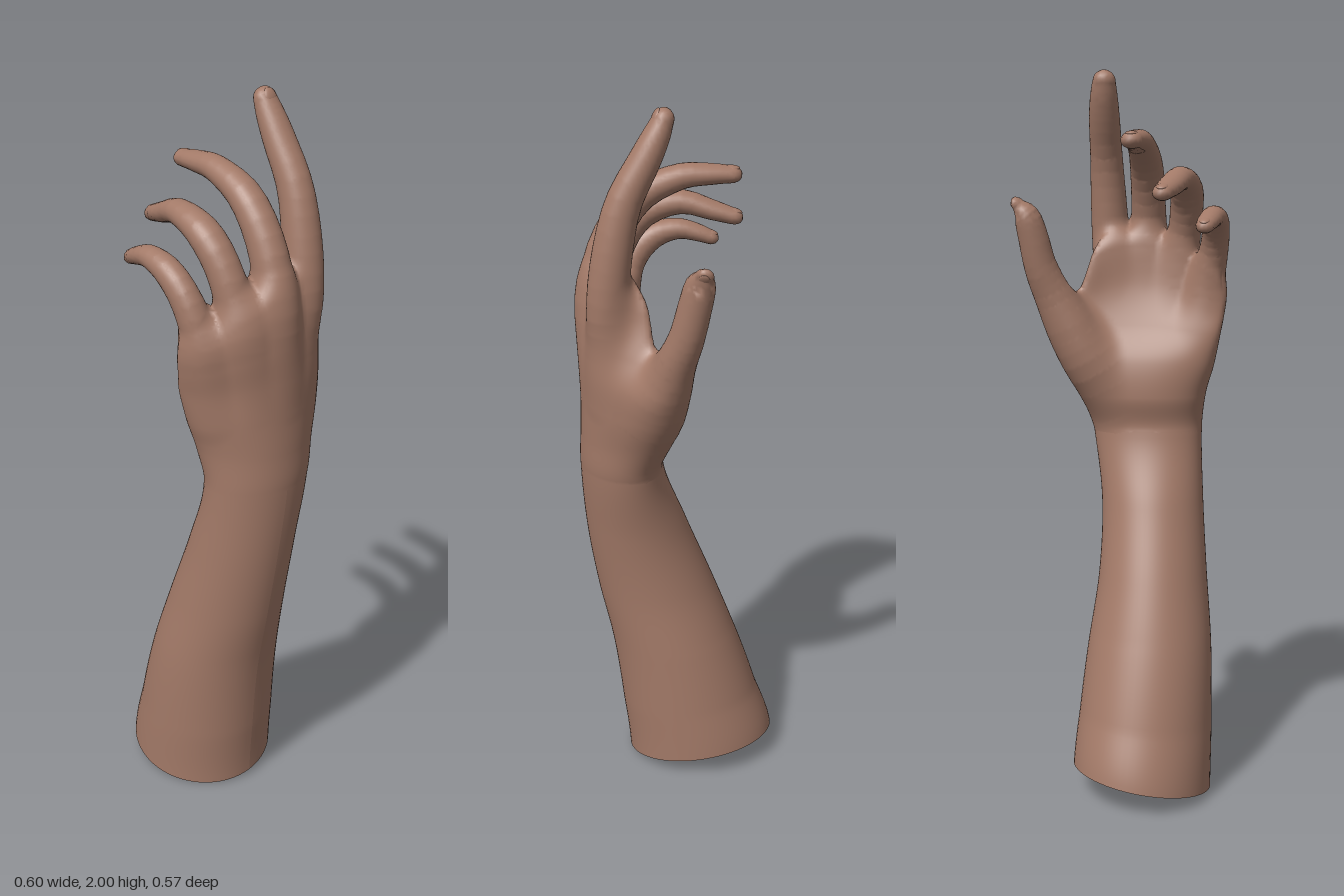
import * as THREE from 'three';

const skin = new THREE.MeshStandardMaterial({ color: 0xa37a68, side: THREE.DoubleSide });
skin.name = 'skin';

// Forearm and palm cross-sections: y, centre x, centre z, half width, half depth, arch
const ARM = [
  [0.043, -0.078, -0.067, 0.193, 0.218, 0],
  [0.200, -0.084, -0.034, 0.187, 0.203, 0],
  [0.400, -0.090, 0.010, 0.175, 0.185, 0],
  [0.600, -0.092, 0.068, 0.154, 0.168, 0],
  [0.800, -0.084, 0.123, 0.146, 0.143, 0],
  [1.000, -0.066, 0.165, 0.156, 0.115, 0.010],
  [1.100, -0.058, 0.157, 0.175, 0.121, 0.020],
  [1.200, -0.052, 0.161, 0.207, 0.114, 0.045],
  [1.300, -0.050, 0.182, 0.224, 0.093, 0.080],
  [1.400, -0.070, 0.198, 0.212, 0.075, 0.090],
  [1.500, -0.090, 0.202, 0.192, 0.062, 0.088],
  [1.600, -0.090, 0.198, 0.165, 0.040, 0.075]
];

// Digits, from the knuckle inside the hand to the tip: x, y, z, half width, half thickness
const DIGITS = {
  indexFinger: [
    [0.020, 1.22, 0.195, 0.035, 0.035], [0.035, 1.36, 0.200, 0.046, 0.046],
    [0.045, 1.48, 0.208, 0.054, 0.055], [0.052, 1.62, 0.196, 0.052, 0.053],
    [0.055, 1.76, 0.165, 0.046, 0.047], [0.053, 1.87, 0.108, 0.043, 0.041],
    [0.050, 1.93, 0.077, 0.038, 0.035], [0.047, 1.968, 0.060, 0.032, 0.028]],
  middleFinger: [
    [-0.050, 1.22, 0.205, 0.035, 0.035], [-0.058, 1.36, 0.214, 0.046, 0.046],
    [-0.060, 1.49, 0.219, 0.053, 0.055], [-0.062, 1.63, 0.190, 0.049, 0.050],
    [-0.064, 1.745, 0.115, 0.046, 0.043], [-0.062, 1.797, 0.005, 0.038, 0.034],
    [-0.058, 1.803, -0.075, 0.036, 0.028], [-0.054, 1.801, -0.135, 0.030, 0.023]],
  ringFinger: [
    [-0.115, 1.22, 0.185, 0.035, 0.035], [-0.138, 1.34, 0.186, 0.043, 0.043],
    [-0.153, 1.45, 0.186, 0.049, 0.050], [-0.170, 1.58, 0.155, 0.046, 0.046],
    [-0.180, 1.670, 0.090, 0.046, 0.042], [-0.172, 1.704, -0.015, 0.038, 0.033],
    [-0.152, 1.682, -0.105, 0.035, 0.027], [-0.138, 1.666, -0.160, 0.028, 0.022]],
  littleFinger: [
    [-0.190, 1.20, 0.140, 0.035, 0.035], [-0.218, 1.32, 0.138, 0.041, 0.041],
    [-0.236, 1.42, 0.135, 0.046, 0.046], [-0.256, 1.52, 0.105, 0.040, 0.042],
    [-0.264, 1.582, 0.048, 0.037, 0.037], [-0.262, 1.604, -0.025, 0.033, 0.029],
    [-0.253, 1.592, -0.085, 0.030, 0.024], [-0.246, 1.580, -0.118, 0.025, 0.020]],
  thumb: [
    [0.020, 1.06, 0.130, 0.050, 0.050], [0.086, 1.18, 0.090, 0.070, 0.070],
    [0.140, 1.28, 0.072, 0.067, 0.069], [0.188, 1.38, 0.052, 0.053, 0.055],
    [0.220, 1.46, 0.030, 0.046, 0.046], [0.239, 1.55, 0.012, 0.043, 0.041],
    [0.254, 1.605, 0.002, 0.039, 0.034], [0.277, 1.636, -0.004, 0.024, 0.016]]
};

// Smooth interpolation of every column of a table at row position u
function sample(rows, u) {
  const n = rows.length - 1;
  const i = Math.max(0, Math.min(Math.floor(u), n - 1));
  const t = Math.min(1, u - i);
  const a = rows[Math.max(0, i - 1)], b = rows[i], d = rows[i + 1], e = rows[Math.min(n, i + 2)];
  return b.map((v, c) => v + 0.5 * t * (d[c] - a[c]
    + t * (2 * a[c] - 5 * v + 4 * d[c] - e[c] + t * (3 * (v - d[c]) + e[c] - a[c]))));
}

function section(y) {
  let i = 0;
  while (i < ARM.length - 2 && ARM[i + 1][0] <= y) i++;
  return sample(ARM, i + (y - ARM[i][0]) / (ARM[i + 1][0] - ARM[i][0]));
}

// Open forearm sleeve with a tilted lower rim
function makeForearm() {
  const around = 64, up = 60, y0 = ARM[0][0];
  const g = new THREE.CylinderGeometry(1, 1, 1, around, up, true);
  const p = g.attributes.position;
  for (let i = 0; i < p.count; i++) {
    const y = y0 + (p.getY(i) + 0.5) * (1 - y0);
    const [, cx, cz, rx, rz, arch] = section(y);
    const dx = rx * p.getX(i), dz = rz * p.getZ(i) - arch * p.getX(i) ** 2;
    const tilt = Math.max(0, 1 - (y - y0) / 0.4);
    p.setXYZ(i, cx + dx, y + tilt * (0.17 * dx - 0.12 * dz), cz + dz);
  }
  g.computeVertexNormals();
  const mesh = new THREE.Mesh(g, skin);
  mesh.name = 'forearm';
  return mesh;
}

// Cross-section frames along a digit
function digitFrames(rows, across) {
  const n = rows.length - 1, steps = 22;
  const at = u => new THREE.Vector3(...sample(rows, u).slice(0, 3));
  return Array.from({ length: steps + 1 }, (_, i) => {
    const u = (i / steps) * n;
    const [w, h] = sample(rows, u).slice(3);
    const T = at(Math.min(n, u + 0.1)).sub(at(Math.max(0, u - 0.1))).normalize();
    const S = across.clone().addScaledVector(T, -across.dot(T)).normalize();
    return { c: at(u), T, S, N: S.clone().cross(T), w, h };
  });
}

const FRAMES = Object.entries(DIGITS).map(([name, rows]) => ({
  name,
  frames: digitFrames(rows, name === 'thumb' ? new THREE.Vector3(0.4, 0, -1) : new THREE.Vector3(1, 0, 0))
}));

// Smooth minimum, for soft webs between parts
const blend = (a, b, k) => {
  const h = Math.max(k - Math.abs(a - b), 0) / k;
  return Math.min(a, b) - h * h * k / 4;
};

// Distance to the palm, whose upper edge falls away to both sides
function palmDistance(P) {
  const y = P.y + 2.5 * (P.x + 0.03) ** 2 * THREE.MathUtils.smoothstep(P.y, 1.2, 1.5);
  const [, cx, cz, rx, rz, arch] = section(y);
  const u = (P.x - cx) / rx, v = (P.z - cz + arch * u * u) / rz;
  const q = Math.hypot(u, v) + 1e-4;
  const side = q * (q - 1) / (Math.hypot(u / rx + 2 * v * arch * u / rz / rx, v / rz) + 1e-6);
  return -blend(-side, 1.56 - y, 0.04);
}

// Distance to a digit of oval section with round ends
const o = new THREE.Vector3(), e = new THREE.Vector3();
function digitDistance(P, frames) {
  let best = Infinity, seg = 0, pos = 0;
  for (let i = 0; i < frames.length - 1; i++) {
    o.subVectors(P, frames[i].c);
    e.subVectors(frames[i + 1].c, frames[i].c);
    const t = Math.max(0, Math.min(1, o.dot(e) / e.dot(e)));
    const d = o.addScaledVector(e, -t).lengthSq();
    if (d < best) [best, seg, pos] = [d, i, t];
  }
  const A = frames[seg], B = frames[seg + 1];
  const mix = (a, b) => a + (b - a) * pos;
  o.subVectors(P, A.c).addScaledVector(e.subVectors(B.c, A.c), -pos);
  const w = mix(A.w, B.w), h = mix(A.h, B.h);
  const a = mix(o.dot(A.S), o.dot(B.S)) / w;
  const b = mix(o.dot(A.N), o.dot(B.N)) / h;
  const c = mix(o.dot(A.T), o.dot(B.T)) / w;
  const q = Math.hypot(a, b, c) + 1e-4;
  return q * (q - 1) / (Math.hypot(a / w, b / h, c / w) + 1e-6);
}

function handDistance(P) {
  const digits = FRAMES.reduce((d, f) => blend(d, digitDistance(P, f.frames), 0.012), 1);
  return blend(digits, palmDistance(P), 0.05);
}

function gradient(P) {
  const s = 0.002, g = new THREE.Vector3(), q = new THREE.Vector3();
  for (const axis of ['x', 'y', 'z']) {
    q.copy(P)[axis] += s;
    g[axis] = handDistance(q);
    q[axis] -= 2 * s;
    g[axis] = (g[axis] - handDistance(q)) / (2 * s);
  }
  return g;
}

// Palm and digits skinned as one surface where the distance is zero
function makeHand() {
  const step = 0.0105, min = new THREE.Vector3(-0.34, 0.99, -0.23), size = [65, 99, 54];
  const stride = [1, size[0], size[0] * size[1]];
  const P = new THREE.Vector3();
  const values = new Float32Array(size[0] * size[1] * size[2]);
  const cells = new Int32Array(values.length).fill(-1);
  const pos = [], nor = [], index = [];
  const each = fn => {
    for (let k = 0, id = 0; k < size[2]; k++)
      for (let j = 0; j < size[1]; j++)
        for (let i = 0; i < size[0]; i++, id++) fn([i, j, k], id);
  };
  each((c, id) => { values[id] = handDistance(P.set(...c).multiplyScalar(step).add(min)); });

  // One vertex in every cell that the surface crosses
  each((c, id) => {
    if (c.some((v, a) => v === size[a] - 1)) return;
    const sum = new THREE.Vector3();
    let count = 0;
    for (let m = 0; m < 8; m++) for (let a = 0; a < 3; a++) {
      if (m >> a & 1) continue;
      const bits = [m & 1, m >> 1 & 1, m >> 2 & 1];
      const from = id + bits.reduce((s, b, x) => s + b * stride[x], 0);
      const v0 = values[from], v1 = values[from + stride[a]];
      if (v0 < 0 === v1 < 0) continue;
      bits[a] = v0 / (v0 - v1);
      sum.add(P.set(...bits));
      count++;
    }
    if (!count) return;
    sum.divideScalar(count).add(P.set(...c)).multiplyScalar(step).add(min);
    const g = gradient(sum);
    sum.addScaledVector(g, -handDistance(sum) / Math.max(0.5, g.lengthSq()));
    cells[id] = pos.length / 3;
    pos.push(...sum);
    nor.push(...g.normalize());
  });

  // One quad across every grid edge that the surface crosses
  each((c, id) => {
    for (let a = 0; a < 3; a++) {
      const b = (a + 1) % 3, d = (a + 2) % 3;
      if (c[a] === size[a] - 1 || !c[b] || !c[d]) continue;
      const inside = values[id] < 0;
      if (inside === values[id + stride[a]] < 0) continue;
      const quad = [0, stride[b], stride[b] + stride[d], stride[d]].map(s => cells[id - s]);
      if (quad.includes(-1)) continue;
      const [p, q, r, s] = inside ? quad : quad.reverse();
      index.push(p, q, r, p, r, s);
    }
  });

  const g = new THREE.BufferGeometry();
  g.setAttribute('position', new THREE.Float32BufferAttribute(pos, 3));
  g.setAttribute('normal', new THREE.Float32BufferAttribute(nor, 3));
  g.setIndex(index);
  const mesh = new THREE.Mesh(g, skin);
  mesh.name = 'palmAndDigits';
  return mesh;
}

// Low rounded nail set into the back of a digit tip
function makeNail({ name, frames }) {
  const { c, T, S, N, w, h } = frames[frames.length - 1];
  const nail = new THREE.Mesh(new THREE.SphereGeometry(1, 20, 12), skin);
  nail.name = name + 'Nail';
  nail.scale.set(w * 0.6, h * 0.32, w * 0.75);
  nail.quaternion.setFromRotationMatrix(new THREE.Matrix4().makeBasis(S, N, T.clone().negate()));
  nail.position.copy(c).addScaledVector(N, h * 0.72);
  return nail;
}

export function createModel() {
  const model = new THREE.Group();
  model.name = 'handAndForearm';
  model.add(makeForearm(), makeHand(), ...FRAMES.map(makeNail));
  return model;
}
